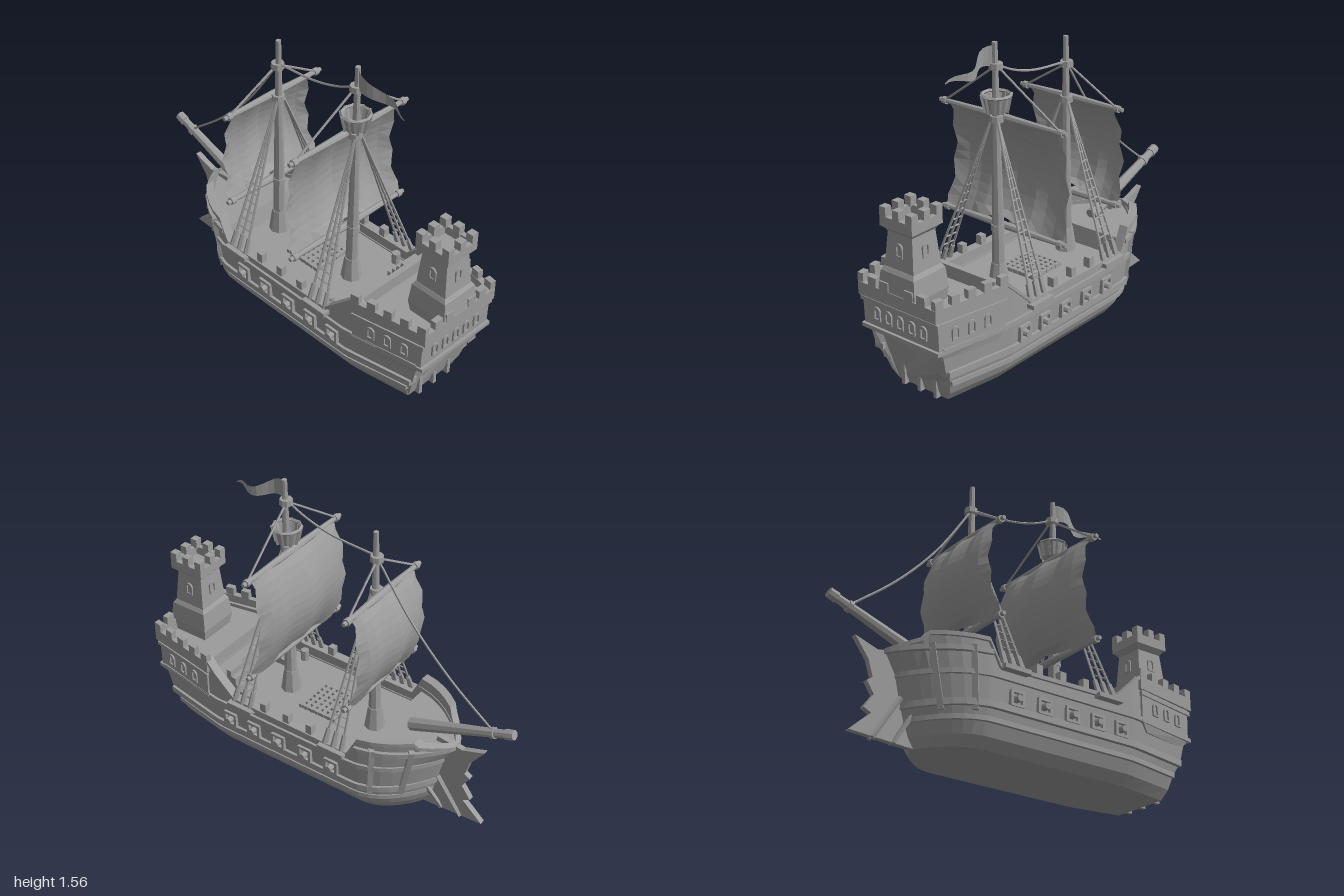
import * as THREE from 'three';

const grey = new THREE.MeshStandardMaterial({ color: 0x9c9c9c, flatShading: true, side: THREE.DoubleSide });
grey.name = 'stoneGrey';
const V = (x, y, z) => new THREE.Vector3(x, y, z);

export function createModel() {
  const root = new THREE.Group();
  root.name = 'sailingShip';
  const add = (name, geo, x = 0, y = 0, z = 0) => {
    const m = new THREE.Mesh(geo, grey);
    m.name = name;
    m.position.set(x, y, z);
    root.add(m);
    return m;
  };
  const box = (name, w, h, d, x, y, z) => add(name, new THREE.BoxGeometry(w, h, d), x, y, z);
  const both = (fn) => [1, -1].forEach(fn);
  const rod = (name, a, b, r0, r1 = r0, sides = 6) => {
    const d = b.clone().sub(a);
    const m = add(name, new THREE.CylinderGeometry(r1, r0, d.length(), sides));
    m.position.copy(a).addScaledVector(d, 0.5);
    m.quaternion.setFromUnitVectors(V(0, 1, 0), d.normalize());
    return m;
  };
  // closed cross-section rings joined into a capped skin
  const skin = (rings) => {
    const n = rings[0].length, pos = rings.flat(2), idx = [];
    for (let i = 0; i < rings.length - 1; i++) for (let j = 0; j < n; j++) {
      const a = i * n + j, b = i * n + (j + 1) % n;
      idx.push(a, a + n, b + n, a, b + n, b);
    }
    const last = (rings.length - 1) * n;
    for (let j = 1; j < n - 1; j++) idx.push(0, j, j + 1, last, last + j + 1, last + j);
    const g = new THREE.BufferGeometry();
    g.setAttribute('position', new THREE.Float32BufferAttribute(pos, 3));
    g.setIndex(idx);
    g.computeVertexNormals();
    return g;
  };
  const lerpTable = (t, v, k) => {
    if (v <= t[0][0]) return t[0][k];
    for (let i = 1; i < t.length; i++) if (v <= t[i][0]) {
      return THREE.MathUtils.mapLinear(v, t[i - 1][0], t[i][0], t[i - 1][k], t[i][k]);
    }
    return t[t.length - 1][k];
  };

  // hull lines: height, bow x, stern x, half width
  const rows = [[0, -0.54, 0.84, 0.2], [0.05, -0.57, 0.86, 0.24], [0.13, -0.6, 0.88, 0.272],
    [0.2, -0.62, 0.92, 0.287], [0.33, -0.65, 0.95, 0.298], [0.43, -0.71, 0.96, 0.3]];
  const sheer = [[-0.72, 0.43], [-0.6, 0.47], [-0.58, 0.5], [-0.33, 0.49], [-0.27, 0.375], [0.42, 0.385], [0.61, 0.56], [0.66, 0.5], [0.97, 0.5]];
  const plan = (x) => x < -0.27 ? Math.sin(Math.PI / 2 * Math.pow(Math.max(0, (x + 0.72) / 0.45), 0.8))
    : x > 0.55 ? 1 - 0.23 * (x - 0.55) / 0.41 : 1;
  const hullPoint = (x, y, out = 0) => {
    const xb = lerpTable(rows, y, 1), xs = lerpTable(rows, y, 2);
    const px = x < -0.3 ? -0.3 + (x + 0.3) * (-0.3 - xb) / 0.42 : x > 0.55 ? 0.55 + (x - 0.55) * (xs - 0.55) / 0.41 : x;
    return [px, y, Math.max(0, lerpTable(rows, y, 3) * plan(x) + out)];
  };
  const stations = [-0.72, -0.705, -0.68, -0.64, -0.6, -0.58, -0.52, -0.46, -0.4, -0.33, -0.31, -0.27, -0.1, 0.1, 0.3, 0.42, 0.53, 0.54, 0.61, 0.66, 0.8, 0.96];
  const deckY = (x) => x < -0.32 ? 0.42 : x < 0.535 ? 0.33 : 0.46;
  add('hull', skin(stations.map((x) => {
    const top = lerpTable(sheer, x, 1), dk = Math.min(deckY(x), top - 0.005);
    const half = rows.slice(0, 5).map((r) => hullPoint(x, r[0]));
    half.push(hullPoint(x, top), hullPoint(x, top, -0.03), [hullPoint(x, top)[0], dk, hullPoint(x, dk, -0.03)[2]]);
    return [...half, ...half.slice().reverse().map(([a, b, c]) => [a, b, -c])];
  })));

  // raised planks following the hull side
  const wale = (name, y, h, out, x0, x1, followSheer) => both((s) => {
    const list = [x0, ...stations.filter((x) => x > x0 && x < x1), x1];
    const m = add(name, skin(list.map((x) => {
      const yy = followSheer ? lerpTable(sheer, x, 1) : y;
      const [px, , z] = hullPoint(x, yy);
      return [[px, yy - h, z - 0.035], [px, yy - h, z + out], [px, yy + h, z + out], [px, yy + h, z - 0.035]];
    })));
    m.scale.z = s;
  });
  wale('lowerWale', 0.12, 0.012, 0.012, -0.715, 0.96);
  wale('middleWale', 0.185, 0.016, 0.018, -0.715, 0.96);
  wale('upperWale', 0.325, 0.012, 0.014, -0.715, 0.96);
  wale('bowWale', 0.43, 0.012, 0.016, -0.715, -0.31);
  wale('gunwale', 0, 0.01, 0.014, -0.715, 0.61, true);
  both((s) => {
    for (const x of [-0.4, -0.57]) {
      const a = hullPoint(x, 0.15, 0.004), b = hullPoint(x, 0.45, 0.004);
      rod('hullRib', V(a[0], a[1], s * a[2]), V(b[0], b[1], s * b[2]), 0.02, 0.02, 4);
    }
    // gun ports with frames and barrels
    for (const x of [-0.17, -0.01, 0.155, 0.31, 0.46]) {
      const z = s * 0.297;
      both((k) => {
        box('portFrame', 0.075, 0.014, 0.022, x, 0.24 + k * 0.033, z);
        box('portFrame', 0.014, 0.075, 0.022, x + k * 0.033, 0.24, z);
      });
      rod('cannon', V(x, 0.24, s * 0.27), V(x, 0.238, s * 0.325), 0.02, 0.016, 8);
    }
    for (const x of [-0.04, 0.1, 0.24]) box('railBlock', 0.035, 0.06, 0.035, x, 0.41, s * 0.288);
    // deck stairs and barrels
    for (let i = 0; i < 4; i++) box('stairStep', 0.028, 0.035 * (i + 1), 0.1, 0.44 + i * 0.028, 0.33 + 0.0175 * (i + 1), s * 0.17);
    add('barrel', new THREE.CylinderGeometry(0.022, 0.022, 0.06, 8), 0.38, 0.36, s * 0.23);
  });
  for (const z of [-0.1, 0, 0.1]) box('sternBracket', 0.05, 0.14, 0.02, 0.845, 0.07, z);

  // hatch grating
  for (let i = 0; i < 7; i++) {
    const t = i / 6 - 0.5;
    box('gratingBar', 0.016, 0.02, 0.22, 0.055 + t * 0.2, 0.342, 0);
    box('gratingBar', 0.22, 0.018, 0.016, 0.055, 0.342, t * 0.2);
  }

  // stern castle
  const slab = (name, x0, x1, w0, w1, y0, y1, wall = 0) => {
    const outline = (P, d) => new P([[x0 + d, w0 - d], [x1 - d, w1 - d], [x1 - d, d - w1], [x0 + d, d - w0]].map((p) => new THREE.Vector2(...p)));
    const s = outline(THREE.Shape, 0);
    if (wall) s.holes.push(outline(THREE.Path, wall));
    const g = new THREE.ExtrudeGeometry(s, { depth: y1 - y0, bevelEnabled: false });
    return add(name, g.rotateX(-Math.PI / 2), 0, y0);
  };
  const ring = (x0, x1, w0, w1, y) => [[x0, y, w0], [x1, y, w1], [x1, y, -w1], [x0, y, -w0]];
  add('castleBase', skin([ring(0.64, 0.93, 0.285, 0.225, 0.27), ring(0.6, 0.97, 0.302, 0.232, 0.32), ring(0.6, 0.975, 0.302, 0.232, 0.48)]));
  slab('castleLedge', 0.595, 0.985, 0.306, 0.237, 0.31, 0.33);
  slab('castleLedge', 0.595, 0.985, 0.31, 0.24, 0.45, 0.47);
  slab('castleParapet', 0.59, 0.995, 0.31, 0.24, 0.48, 0.545, 0.03).geometry.computeBoundingBox();
  const arch = new THREE.Shape();
  arch.moveTo(-0.022, -0.035).lineTo(0.022, -0.035).lineTo(0.022, 0.012);
  arch.absarc(0, 0.012, 0.022, 0, Math.PI).lineTo(-0.022, -0.035);
  const slot = new THREE.Path();
  slot.moveTo(-0.012, -0.026).lineTo(0.012, -0.026).lineTo(0.012, 0.012);
  slot.absarc(0, 0.012, 0.012, 0, Math.PI).lineTo(-0.012, -0.026);
  arch.holes.push(slot);
  const archGeo = new THREE.ExtrudeGeometry(arch, { depth: 0.009, bevelEnabled: false, curveSegments: 5 });
  both((s) => {
    for (let i = 0; i < 5; i++) {
      const x = 0.61 + i * 0.09, m = box('castleMerlon', 0.045, 0.045, 0.03, x, 0.566, s * (0.295 - (x - 0.59) * 0.173));
      m.rotation.y = s * 0.171;
    }
    for (const x of [0.7, 0.79, 0.88]) add('archedWindow', archGeo, x, 0.4, s * (0.302 - (x - 0.6) * 0.187)).rotation.y = s > 0 ? 0.185 : Math.PI - 0.185;
  });
  for (let i = -2; i <= 2; i++) {
    add('archedWindow', archGeo, 0.973, 0.4, i * 0.072).rotation.y = Math.PI / 2;
    if (i) box('castleMerlon', 0.03, 0.045, 0.05, 0.98, 0.566, i * 0.075);
  }

  // stone tower
  const sq = (r, y) => ring(0.88 - r, 0.88 + r, r, r, y);
  add('towerSkirt', skin([sq(0.1, 0.46), sq(0.112, 0.54), sq(0.102, 0.64), sq(0.09, 0.66)]));
  add('towerBody', skin([sq(0.09, 0.64), sq(0.074, 0.83), sq(0.096, 0.86)]));
  slab('towerParapet', 0.782, 0.978, 0.098, 0.098, 0.855, 0.905, 0.025);
  for (let i = -1; i <= 1; i++) for (let j = -1; j <= 1; j++) {
    if (i || j) box('towerMerlon', 0.038, 0.05, 0.038, 0.88 + i * 0.079, 0.925, j * 0.079);
  }
  for (let k = 0; k < 4; k++) {
    const a = k * Math.PI / 2;
    add('towerWindow', archGeo, 0.88 + Math.sin(a) * 0.079, 0.755, Math.cos(a) * 0.079).rotation.y = a;
  }

  // ragged beak at the bow
  const beak = new THREE.Shape([[-0.5, 0], [-0.87, 0.02], [-0.76, 0.12], [-0.8, 0.14], [-0.75, 0.21], [-0.79, 0.27], [-0.76, 0.29], [-0.785, 0.37],
    [-0.86, 0.47], [-0.74, 0.43], [-0.6, 0.45]].map((p) => new THREE.Vector2(...p)));
  add('bowBeak', new THREE.ExtrudeGeometry(beak, { depth: 0.03, bevelEnabled: false }), 0, 0, -0.015);
  both((s) => {
    rod('beakBrace', V(-0.62, 0.22, s * 0.03), V(-0.75, 0.01, s * 0.015), 0.014, 0.012, 4);
    rod('beakBrace', V(-0.57, 0.14, s * 0.05), V(-0.64, 0.01, s * 0.015), 0.014, 0.012, 4);
  });
  rod('bowsprit', V(-0.44, 0.44, 0), V(-0.985, 0.638, 0), 0.034, 0.02, 8);
  rod('bowspritCap', V(-0.955, 0.627, 0), V(-1.0, 0.643, 0), 0.027, 0.025, 8);
  rod('bowspritBand', V(-0.88, 0.6, 0), V(-0.9, 0.607, 0), 0.029, 0.029, 8);

  // masts with yards, sails, stays and shrouds
  const rope = (pts, r = 0.006) => add('stayRope', new THREE.TubeGeometry(new THREE.CatmullRomCurve3(pts), 16, r, 5));
  const sail = (x0, y0, y1, w0, w1, bulge) => {
    const g = new THREE.PlaneGeometry(1, 1, 10, 12), p = g.attributes.position;
    for (let i = 0; i < p.count; i++) {
      const u = p.getX(i) * 2, v = p.getY(i) + 0.5;
      const edge = Math.abs(u) > 0.99 ? 0.012 * Math.sin(v * 19) : 0;
      const hem = v < 0.01 ? 0.02 * Math.cos(u * 4.5) : 0;
      p.setXYZ(i, x0 - bulge * Math.pow(Math.sin(Math.PI * v), 0.8) * (0.55 + 0.45 * Math.cos(u * Math.PI / 2)) - 0.008 * Math.cos(u * 9),
        y0 + (y1 - y0) * v + hem, u * (w0 + (w1 - w0) * v) + Math.sign(u) * edge);
    }
    add('sail', g);
  };
  const mast = (x, top, w, yardY, lowY, stayY, shroudXs) => {
    rod('mast', V(x, 0.32, 0), V(x + 0.012, top, 0), 0.034, 0.013, 8);
    rod('mastFoot', V(x, 0.32, 0), V(x, 0.45, 0), 0.055, 0.036, 8);
    for (const y of [lowY, yardY, stayY]) rod('mastBand', V(x + 0.005, y - 0.015, 0), V(x + 0.005, y + 0.015, 0), 0.034, 0.032, 8);
    for (const y of [yardY, lowY]) both((s) => {
      rod('yard', V(x - 0.03, y, 0), V(x - 0.03, y, s * w), 0.02, 0.011, 8);
      rod('yardEnd', V(x - 0.03, y, s * (w - 0.045)), V(x - 0.03, y, s * (w - 0.02)), 0.019, 0.019, 8);
    });
    sail(x - 0.04, lowY + 0.01, yardY, w - 0.025, w - 0.055, 0.1);
    both((s) => {
      rod('yardLift', V(x, stayY, 0), V(x - 0.03, yardY, s * (w - 0.03)), 0.006, 0.006, 5);
      // shroud ladder
      const head = V(x + 0.02, yardY + 0.01, s * 0.015), feet = shroudXs.map((fx) => V(fx, 0.4, s * 0.3));
      box('shroudChannel', 0.15, 0.022, 0.05, feet[1].x, 0.37, s * 0.315);
      feet.forEach((f) => {
        rod('shroud', f, head, 0.007, 0.006, 5);
        rod('deadeye', V(f.x, 0.38, s * 0.305), f.clone().lerp(head, 0.08), 0.016, 0.012, 6);
      });
      for (let t = 0.12; t < 0.9; t += 0.06) rod('ratline', feet[0].clone().lerp(head, t), feet[2].clone().lerp(head, t), 0.005, 0.005, 4);
    });
  };
  mast(-0.225, 1.46, 0.315, 1.14, 0.64, 1.32, [-0.24, -0.19, -0.14]);
  mast(0.295, 1.555, 0.385, 1.185, 0.635, 1.44, [0.32, 0.37, 0.42]);
  rope([V(-0.89, 0.61, 0), V(-0.64, 0.81, 0), V(-0.42, 1.04, 0), V(-0.215, 1.33, 0)]);
  rope([V(-0.215, 1.33, 0), V(0.03, 1.35, 0), V(0.18, 1.39, 0), V(0.305, 1.45, 0)]);

  // lookout basket
  const bx = 0.3;
  add('lookoutBasket', new THREE.CylinderGeometry(0.07, 0.053, 0.075, 10, 1, true), bx, 1.26, 0);
  add('lookoutFloor', new THREE.CylinderGeometry(0.055, 0.04, 0.02, 10), bx, 1.225, 0);
  add('lookoutRim', new THREE.TorusGeometry(0.07, 0.009, 4, 10).rotateX(Math.PI / 2), bx, 1.3, 0);
  for (let i = 0; i < 10; i++) {
    const c = Math.cos(i * Math.PI / 5), s = Math.sin(i * Math.PI / 5);
    rod('lookoutSlat', V(bx + c * 0.055, 1.22, s * 0.055), V(bx + c * 0.073, 1.305, s * 0.073), 0.008, 0.008, 4);
  }

  // waving pennant
  const flag = new THREE.PlaneGeometry(1, 1, 12, 2), fp = flag.attributes.position;
  for (let i = 0; i < fp.count; i++) {
    const t = fp.getX(i) + 0.5, half = 0.048 * (1 - t) + 0.003;
    fp.setXYZ(i, 0.31 + 0.305 * t, 1.49 - 0.065 * t + 0.01 * Math.sin(t * 9) + fp.getY(i) * 2 * half, 0.025 * Math.sin(t * 8));
  }
  add('pennant', flag);
  return root;
}
